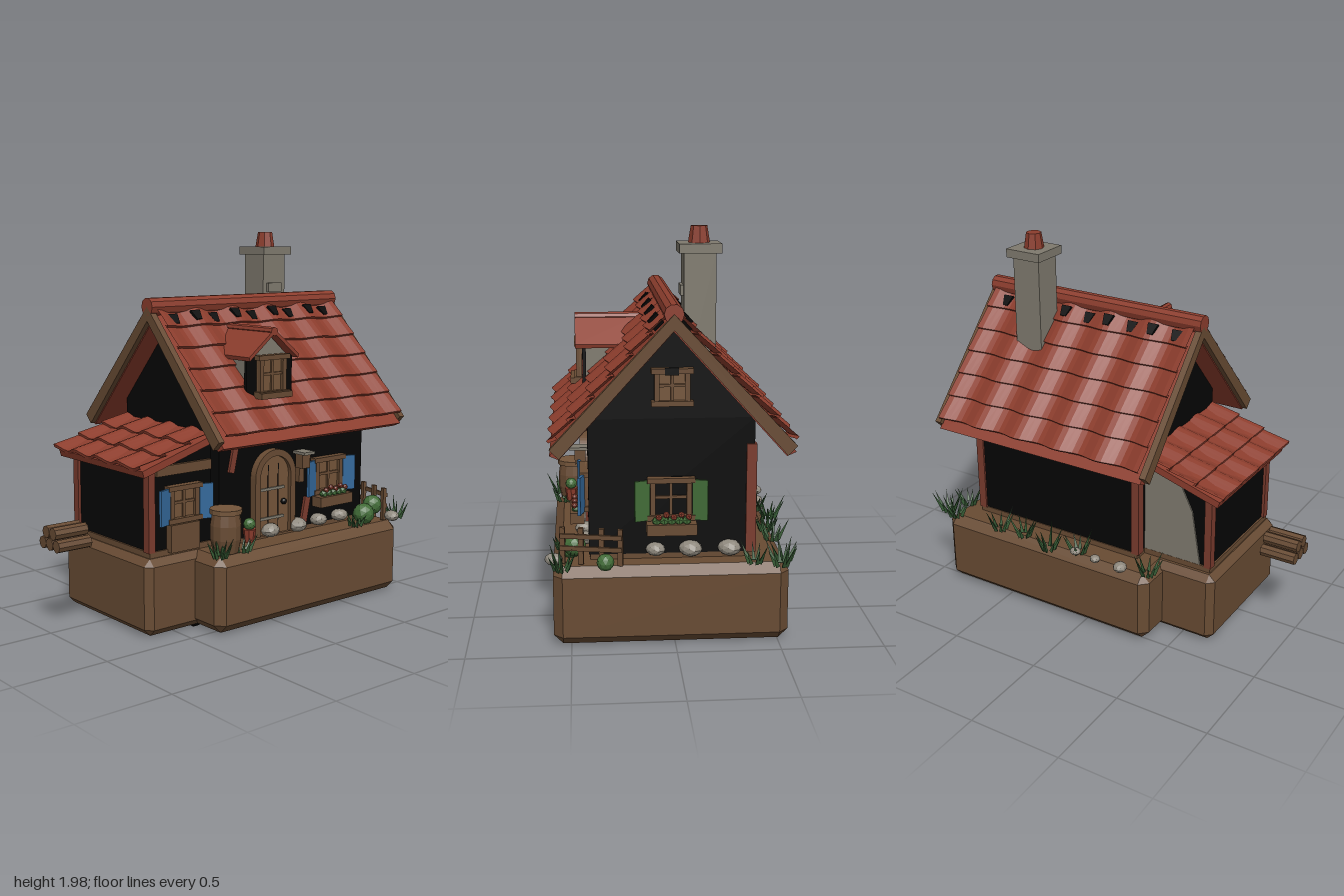
import * as THREE from 'three';
import { toCreasedNormals } from 'three/addons/utils/BufferGeometryUtils.js';
import { ConvexGeometry } from 'three/addons/geometries/ConvexGeometry.js';

const mat = (name, color) => Object.assign(new THREE.MeshStandardMaterial({ color, flatShading: true, side: THREE.DoubleSide }), { name });
const M = {
  wood: mat('wood', 0x684b33), lightWood: mat('light wood', 0x74553a), red: mat('roof red', 0x8c3d2d),
  post: mat('red timber', 0x7a3b2d), black: mat('dark wall', 0x050505), stone: mat('stone', 0x7f7a6e),
  pebble: mat('pebble', 0x8f897e), blue: mat('blue paint', 0x34699b), green: mat('green paint', 0x416b37),
  leaf: mat('grass green', 0x345832),
};

function add(parent, name, geo, material, x = 0, y = 0, z = 0) {
  const m = new THREE.Mesh(geo, material);
  m.name = name;
  m.position.set(x, y, z);
  parent.add(m);
  return m;
}
// box given by its min and max on each axis
const span = (p, name, m, x0, x1, y0, y1, z0, z1) =>
  add(p, name, new THREE.BoxGeometry(x1 - x0, y1 - y0, z1 - z0), m, (x0 + x1) / 2, (y0 + y1) / 2, (z0 + z1) / 2);
const group = (p, name, x = 0, y = 0, z = 0, ry = 0) => {
  const g = new THREE.Group();
  g.name = name;
  g.position.set(x, y, z);
  g.rotation.y = ry;
  p.add(g);
  return g;
};
const extrude = (pts, depth) => new THREE.ExtrudeGeometry(
  new THREE.Shape(pts.map(p => new THREE.Vector2(...p))), { depth, bevelEnabled: false });
// profile drawn in (z, y), extruded along +x from x0 to x1
function profileX(p, name, pts, x0, x1, m) {
  const geo = extrude(pts.map(([z, y]) => [-z, y]), x1 - x0);
  geo.rotateY(Math.PI / 2);
  return add(p, name, geo, m, x0);
}

// block with chamfered edges
function chamferBlock(p, name, x0, x1, y0, y1, z0, z1, c) {
  const h = [(x1 - x0) / 2, (y1 - y0) / 2, (z1 - z0) / 2], pts = [];
  for (const a of [-1, 1]) for (const b of [-1, 1]) for (const d of [-1, 1])
    for (let k = 0; k < 3; k++) {
      const v = [a, b, d].map((s, i) => s * (h[i] - (i === k ? 0 : c)));
      pts.push(new THREE.Vector3(...v));
    }
  add(p, name, new ConvexGeometry(pts), M.wood, (x0 + x1) / 2, (y0 + y1) / 2, (z0 + z1) / 2);
}

// overlapping rows of wavy tiles running down local +z
const tileWave = (x, width, waves) => 0.016 * Math.cos((x / width + 0.5) * waves * Math.PI * 2);
function tiles(p, name, width, length, rows, waves) {
  const rl = length / rows;
  for (let r = 0; r < rows; r++) {
    const geo = new THREE.PlaneGeometry(width, 1, waves * 8, 2), a = geo.attributes.position;
    for (let i = 0; i < a.count; i++) {
      const ring = Math.round((0.5 - a.getY(i)) * 2), x = a.getX(i);
      const wave = tileWave(x, width, waves);
      a.setXYZ(i, x, [0.006, 0.022, 0.004][ring] + wave, r * rl + (ring ? rl + 0.008 + wave * 0.5 : 0));
    }
    add(p, name, toCreasedNormals(geo, 0.6), M.red);
  }
}

// window facing local +z, optional shutters and flower box
function windowUnit(p, w, h, pane, shutter, flowers) {
  const f = 0.025;
  span(p, 'windowPane', pane, -w / 2, w / 2, -h / 2, h / 2, 0, 0.012);
  for (const s of [-1, 1]) {
    add(p, 'windowJamb', new THREE.BoxGeometry(f, h, 0.03), M.wood, s * (w - f) / 2, 0, 0.015);
    add(p, 'windowRail', new THREE.BoxGeometry(w + 0.03, f, 0.04), M.wood, 0, s * (h - f) / 2, 0.02);
    if (shutter) {
      const sh = add(p, 'shutter', new THREE.BoxGeometry(0.075, h * 0.95, 0.014), shutter, s * (w / 2 + 0.04), -0.005, 0.035);
      sh.rotation.y = -s * 0.3;
    }
  }
  span(p, 'mullion', M.wood, -0.007, 0.007, -h * 0.42, h * 0.42, 0.01, 0.022);
  span(p, 'mullion', M.wood, -w * 0.42, w * 0.42, 0, 0.014, 0.01, 0.022);
  if (!flowers) return;
  span(p, 'flowerBox', M.wood, -w / 2 - 0.02, w / 2 + 0.02, -h / 2 - 0.06, -h / 2 - 0.005, 0.02, 0.09);
  for (let i = 0; i < 5; i++) {
    const x = (i - 2) * w * 0.18;
    add(p, 'flowerLeaves', new THREE.IcosahedronGeometry(0.024, 0), M.green, x, -h / 2 + 0.005, 0.06);
    add(p, 'flower', new THREE.IcosahedronGeometry(0.017, 0), M.red, x + 0.01, -h / 2 + 0.026 + (i % 2) * 0.012, 0.068);
  }
}

function grass(p, x, z, size = 1) {
  const g = group(p, 'grassTuft', x, 0.4, z, x * 7 + z * 3);
  for (let i = 0; i < 8; i++) {
    const h = size * (0.08 + 0.045 * ((i * 5) % 4) / 3), geo = new THREE.ConeGeometry(0.012, h, 3);
    geo.translate(0, h / 2, 0);
    const blade = add(g, 'grassBlade', geo, M.leaf, 0.03 * Math.cos(i * 2.4), 0, 0.03 * Math.sin(i * 2.4));
    blade.rotation.set(0.45 * Math.sin(i * 2.4), 0, -0.45 * Math.cos(i * 2.4));
  }
}
function rock(p, x, z, r, y = 0.4 + r * 0.62) {
  const s = add(p, 'rock', new THREE.IcosahedronGeometry(r, 1), M.pebble, x, y, z);
  s.scale.set(1, 0.66, 0.9);
  s.rotation.y = x * 5;
}

export function createModel() {
  const root = new THREE.Group();
  root.name = 'cottage';

  // ground, with a dark seam underneath
  chamferBlock(root, 'groundBlock', -0.39, 0.91, 0.005, 0.395, -0.55, 0.585, 0.045);
  chamferBlock(root, 'annexGroundBlock', -0.68, -0.3, 0.005, 0.395, -0.37, 0.39, 0.035);
  span(root, 'groundSeam', M.black, -0.385, -0.345, 0, 0.006, -0.1, 0.37);

  // main walls
  profileX(root, 'houseWalls', [[-0.39, 0.42], [0.41, 0.42], [0.41, 1.09], [0.01, 1.52], [-0.39, 1.09]], -0.25, 0.775, M.black);
  for (const x of [-0.26, 0.74]) span(root, 'cornerPost', M.post, x, x + 0.045, 0.42, 0.96, -0.4, -0.35);
  span(root, 'groundSill', M.wood, -0.25, 0.775, 0.39, 0.425, -0.395, 0.405);

  // main roof
  const chevron = (o, i) => [[0.01, 1.6 + o], [0.59, 0.975 + o], [0.545, 0.935 - i], [0.01, 1.53 - i], [-0.525, 0.935 - i], [-0.57, 0.975 + o]];
  profileX(root, 'roofBoards', chevron(-0.03, 0.01), -0.37, 0.89, M.red);
  profileX(root, 'leftBarge', chevron(0.005, 0), -0.4, -0.365, M.wood);
  profileX(root, 'rightBarge', chevron(0.005, 0), 0.885, 0.92, M.wood);
  const gapShape = extrude([[-0.03, 0], [0.03, 0], [0.016, 0.06], [-0.016, 0.06]], 0.014).rotateX(Math.PI / 2);
  for (const ry of [0, Math.PI]) {
    const slope = group(root, 'roofSlope', 0.26, 1.6, 0.01, ry);
    slope.rotation.order = 'YXZ';
    slope.rotation.x = 0.823;
    tiles(slope, 'roofTiles', 1.25, 0.815, 6, 5);
    for (let i = 0; i < 9; i++) {
      const x = (i - 4) * 0.133;
      add(slope, 'tileGap', gapShape, M.black, x, 0.024 + tileWave(x, 1.25, 5), 0.06);
    }
  }
  const ridge = add(root, 'ridgeCap', new THREE.CylinderGeometry(0.047, 0.047, 1.31, 10), M.red, 0.255, 1.603, 0.01);
  ridge.rotation.z = Math.PI / 2;

  // chimney
  span(root, 'chimney', M.stone, 0.455, 0.615, 1.2, 1.86, -0.215, -0.06);
  span(root, 'chimneyBrick', M.stone, 0.48, 0.58, 1.65, 1.7, -0.07, -0.045);
  span(root, 'chimneyCap', M.stone, 0.435, 0.64, 1.855, 1.9, -0.24, -0.035);
  add(root, 'chimneyPot', new THREE.CylinderGeometry(0.04, 0.053, 0.08, 8), M.red, 0.535, 1.94, -0.138);

  // dormer
  const dormer = group(root, 'dormer', 0.068, 0, 0);
  add(dormer, 'dormerBody', extrude([[-0.12, 1.1], [0.12, 1.1], [0.12, 1.36], [0, 1.465], [-0.12, 1.36]], 0.32), M.stone, 0, 0, 0.1);
  add(dormer, 'dormerRoof', extrude([[0, 1.495], [0.17, 1.36], [0.165, 1.34], [0, 1.472], [-0.165, 1.34], [-0.17, 1.36]], 0.36), M.red, 0, 0, 0.105);
  const cap = add(dormer, 'dormerRidge', new THREE.CylinderGeometry(0.023, 0.023, 0.36, 8), M.red, 0, 1.482, 0.285);
  cap.rotation.x = Math.PI / 2;
  span(dormer, 'dormerFront', M.black, -0.155, 0.155, 1.1, 1.36, 0.41, 0.428);
  windowUnit(group(dormer, 'dormerWindow', 0, 1.26, 0.43), 0.18, 0.21, M.lightWood);
  span(dormer, 'dormerSill', M.wood, -0.105, 0.105, 1.145, 1.175, 0.43, 0.49);

  // side annex
  add(root, 'annexWalls', extrude([[-0.63, 0.42], [-0.25, 0.42], [-0.25, 0.96], [-0.63, 0.85]], 0.65), M.black, 0, 0, -0.31);
  add(root, 'annexBackWall', extrude([[-0.58, 0.42], [-0.25, 0.42], [-0.25, 0.94], [-0.45, 0.88], [-0.53, 0.72]], 0.008), M.stone, 0, 0, -0.319);
  for (const z of [-0.325, 0.305]) span(root, 'annexPost', M.post, -0.645, -0.605, 0.42, 0.845, z, z + 0.045);
  span(root, 'annexBeam', M.wood, -0.6, -0.26, 0.8, 0.85, 0.33, 0.36);
  span(root, 'annexSill', M.wood, -0.64, -0.25, 0.39, 0.425, -0.32, 0.35);
  const annexRoof = group(root, 'annexRoof', -0.25, 0.98, 0.01, -Math.PI / 2);
  annexRoof.rotation.order = 'YXZ';
  annexRoof.rotation.x = 0.29;
  tiles(annexRoof, 'annexTiles', 0.78, 0.475, 3, 4);
  span(annexRoof, 'annexRoofBoards', M.red, -0.375, 0.375, -0.035, 0.002, 0, 0.475);
  windowUnit(group(root, 'annexWindow', -0.435, 0.65, 0.34), 0.18, 0.19, M.lightWood, M.blue);
  span(root, 'bench', M.wood, -0.53, -0.35, 0.41, 0.55, 0.34, 0.38);

  // door with arched frame
  const arch = (w, h) => {
    const s = new THREE.Shape();
    s.moveTo(-w, 0);
    s.lineTo(w, 0);
    s.lineTo(w, h - w);
    s.absarc(0, h - w, w, 0, Math.PI, false);
    return s;
  };
  const door = group(root, 'door', 0.1, 0.42, 0.4);
  const frame = arch(0.14, 0.45);
  frame.holes.push(arch(0.105, 0.415));
  add(door, 'doorFrame', new THREE.ExtrudeGeometry(frame, { depth: 0.05, bevelEnabled: false }), M.wood);
  add(door, 'doorLeaf', new THREE.ExtrudeGeometry(arch(0.107, 0.417), { depth: 0.03, bevelEnabled: false }), M.lightWood);
  for (const x of [-0.04, 0.03]) span(door, 'doorSeam', M.black, x, x + 0.004, 0, 0.37, 0.03, 0.033);
  for (const y of [0.08, 0.235]) span(door, 'doorHinge', M.stone, -0.1, 0.07, y, y + 0.014, 0.03, 0.038);
  add(door, 'doorKnob', new THREE.IcosahedronGeometry(0.017, 1), M.black, 0.065, 0.165, 0.04);

  // front and side windows
  windowUnit(group(root, 'frontWindow', 0.5, 0.685, 0.41), 0.2, 0.2, M.lightWood, M.blue, true);
  windowUnit(group(root, 'sideWindow', 0.775, 0.7, 0.015, Math.PI / 2), 0.2, 0.21, M.black, M.green, true);
  windowUnit(group(root, 'gableWindow', 0.775, 1.245, 0.01, Math.PI / 2), 0.17, 0.18, M.lightWood);
  span(root, 'gableWindowNotch', M.black, 0.81, 0.817, 1.305, 1.34, -0.02, 0.045);

  // loose timber braces and wall lamp
  add(root, 'brace', new THREE.BoxGeometry(0.035, 0.13, 0.02), M.post, -0.165, 0.84, 0.415).rotation.z = -0.22;
  add(root, 'brace', new THREE.BoxGeometry(0.04, 0.16, 0.02), M.post, 0.34, 0.5, 0.415).rotation.z = -0.2;
  span(root, 'lamp', M.wood, 0.265, 0.32, 0.75, 0.83, 0.42, 0.475);
  span(root, 'lampPost', M.wood, 0.275, 0.31, 0.67, 0.75, 0.41, 0.44);
  span(root, 'lampCap', M.stone, 0.255, 0.33, 0.825, 0.84, 0.41, 0.5);

  // barrel
  const barrel = group(root, 'barrel', -0.272, 0.4, 0.49);
  const stave = [[0, 0], [0.065, 0], [0.08, 0.07], [0.08, 0.14], [0.07, 0.2], [0, 0.2]].map(p => new THREE.Vector2(...p));
  add(barrel, 'barrelBody', new THREE.LatheGeometry(stave, 12), M.wood);
  add(barrel, 'barrelLid', new THREE.CylinderGeometry(0.083, 0.083, 0.025, 12), M.lightWood, 0, 0.21, 0);

  // potted plant
  add(root, 'flowerPot', new THREE.CylinderGeometry(0.035, 0.025, 0.07, 8), M.red, -0.125, 0.46, 0.5);
  add(root, 'potPlant', new THREE.IcosahedronGeometry(0.032, 1), M.green, -0.125, 0.52, 0.5);

  // log pile
  for (const [row, n] of [[0, 3], [1, 2]]) for (let i = 0; i < n; i++) {
    const log = add(root, 'log', new THREE.CylinderGeometry(0.032, 0.032, 0.19, 8), M.wood, -0.905, 0.457 + row * 0.058, 0.005 + (i - (n - 1) / 2) * 0.063);
    log.rotation.z = Math.PI / 2;
  }

  // corner fence
  const fence = group(root, 'fence', 0.855, 0.4, 0.4, Math.PI / 2 - 0.2);
  for (const x of [-0.14, -0.05, 0.05, 0.14]) add(fence, 'fencePost', new THREE.BoxGeometry(0.025, 0.18, 0.02), M.wood, x, 0.09, 0);
  for (const y of [0.08, 0.14]) add(fence, 'fenceRail', new THREE.BoxGeometry(0.3, 0.022, 0.014), M.wood, 0, y, 0.012);

  // rocks, bushes and grass
  for (const [x, z, r] of [[0.07, 0.44, 0.056], [0.26, 0.44, 0.06], [0.43, 0.43, 0.05], [0.59, 0.43, 0.05], [0.785, 0.09, 0.05],
    [0.785, -0.08, 0.06], [0.785, -0.27, 0.06]]) rock(root, x, z, r, 0.445);
  for (const [x, z, r] of [[-0.24, -0.55, 0.04], [-0.08, -0.54, 0.03], [0.05, -0.53, 0.03], [0.85, 0.58, 0.045]]) rock(root, x, z, r);
  for (const [x, y, z, r] of [[0.71, 0.445, 0.5, 0.06], [0.8, 0.48, 0.48, 0.055], [0.93, 0.435, 0.335, 0.042]])
    add(root, 'bush', new THREE.IcosahedronGeometry(r, 1), M.green, x, y, z);
  for (const [x, z, s] of [[-0.37, 0.56, 1], [-0.2, 0.54, 0.8], [0.93, 0.54, 1], [0.62, 0.53, 0.6], [0.93, -0.5, 1.1], [0.85, -0.53, 1], [0.55, -0.52, 1],
    [0.4, -0.51, 1], [0.2, -0.56, 1.1], [0.05, -0.5, 1], [-0.38, -0.5, 1], [0.88, -0.38, 0.9]]) grass(root, x, z, s);

  return root;
}
